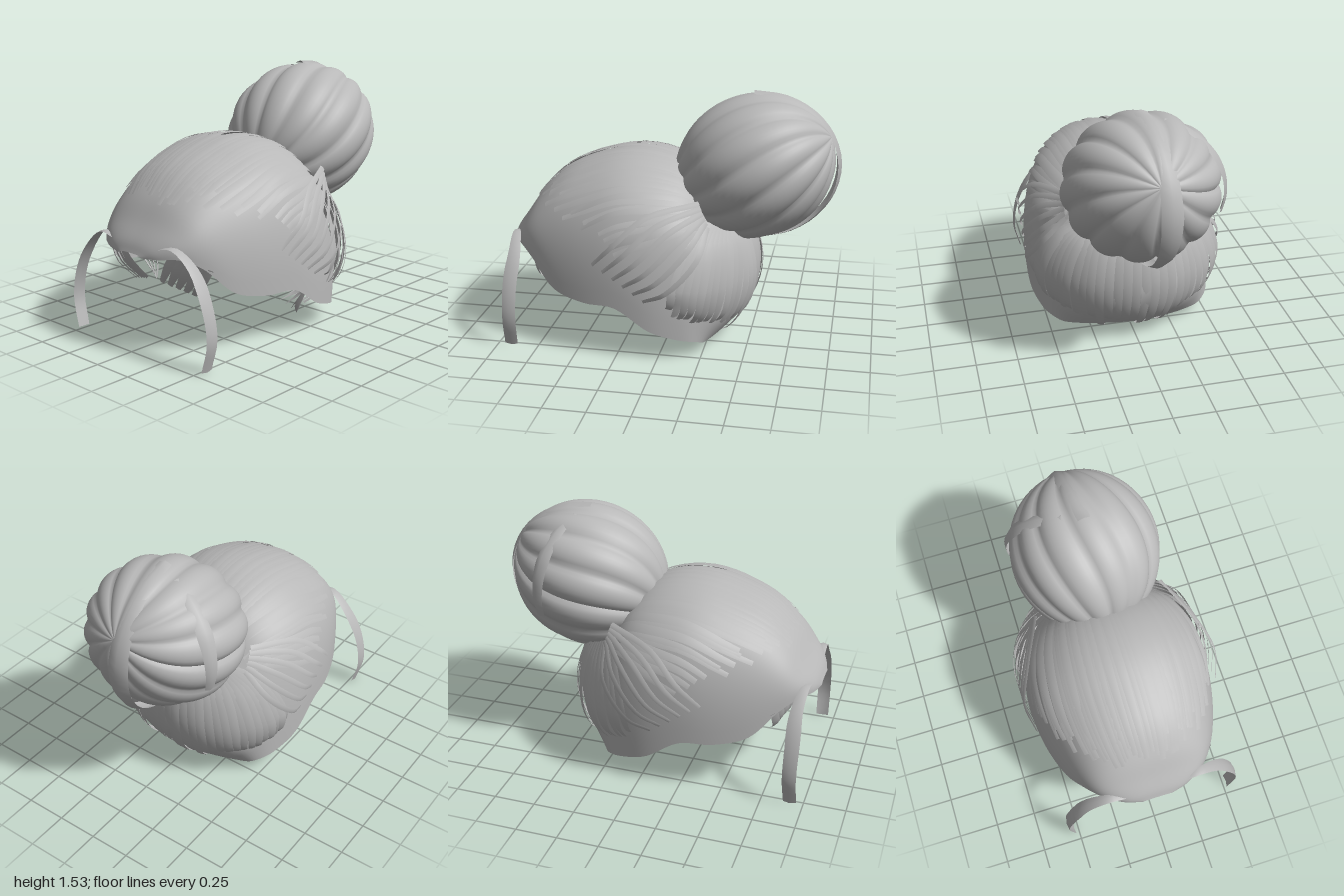
import * as THREE from 'three';
import { mergeGeometries } from 'three/addons/utils/BufferGeometryUtils.js';

const V = (x, y, z) => new THREE.Vector3(x, y, z);
const HEAD = V(0, 0.5, 0.1);
const BUN = V(0, 1.085, -0.495);

// Scalp cross-sections from hairline to nape: z, half width, top y, bottom y
const SECTIONS = [
  [0.995, 0.09, 0.605, 0.59], [0.965, 0.2, 0.67, 0.595], [0.9, 0.31, 0.76, 0.6], [0.8, 0.4, 0.9, 0.54],
  [0.65, 0.485, 1.03, 0.39], [0.45, 0.55, 1.11, 0.34], [0.25, 0.58, 1.15, 0.33], [0.05, 0.58, 1.13, 0.2],
  [-0.12, 0.54, 1.05, 0.14], [-0.25, 0.48, 0.9, 0.11], [-0.36, 0.41, 0.77, 0.08], [-0.46, 0.31, 0.69, 0.08],
  [-0.52, 0.17, 0.6, 0.1], [-0.54, 0, 0.52, 0.1],
];
const LAST = SECTIONS.length - 1;
const shape = new THREE.CatmullRomCurve3(SECTIONS.map(s => V(s[0], s[1], s[2])), false, 'catmullrom');
const hem = new THREE.CatmullRomCurve3(SECTIONS.map(s => V(s[3], 0, 0)), false, 'catmullrom');

// Point on the scalp: i = section index, t = 0 (left hem) to PI (right hem)
function scalpPoint(i, t, lift = 0) {
  const u = THREE.MathUtils.clamp(i / LAST, 0, 1);
  const s = shape.getPoint(u), bottom = hem.getPoint(u).x;
  const c = Math.cos(t), k = 0.8;
  const p = V(Math.sign(c) * s.y * Math.abs(c) ** k, bottom + (s.z - bottom) * Math.max(0, Math.sin(t)) ** k, s.x);
  // the nape tucks forward towards the neck
  const back = THREE.MathUtils.smoothstep(-s.x, 0.15, 0.54);
  p.z += 0.16 * back * (Math.max(0, 0.42 - p.y) / 0.32) ** 2;
  return p.addScaledVector(p.clone().sub(HEAD).normalize(), lift);
}

// Grid surface from fn(row, column)
function grid(rows, cols, fn) {
  const pos = [], index = [];
  for (let r = 0; r <= rows; r++) for (let c = 0; c <= cols; c++) {
    pos.push(...fn(r, c).toArray());
    if (r < rows && c < cols) {
      const a = r * (cols + 1) + c, b = a + cols + 1;
      index.push(a, a + 1, b, b, a + 1, b + 1);
    }
  }
  const g = new THREE.BufferGeometry();
  g.setAttribute('position', new THREE.Float32BufferAttribute(pos, 3));
  g.setIndex(index);
  g.computeVertexNormals();
  return g;
}

// Curved ribbon of hair facing away from a centre point
function ribbon(points, width, centre, { steps = 12, crown = 0.1, tip = 0.6, root = 1 } = {}) {
  const curve = new THREE.CatmullRomCurve3(points);
  return grid(steps, 2, (r, c) => {
    const s = r / steps, p = curve.getPoint(s), out = p.clone().sub(centre).normalize();
    const side = out.clone().cross(curve.getTangent(s)).normalize();
    const taper = s < 0.5 ? root + (1 - root) * s * 2 : 1 + (tip - 1) * (s - 0.5) * 2;
    return p.addScaledVector(side, (1 - c) * width * taper / 2).addScaledVector(out, c === 1 ? crown * width * taper : 0);
  });
}

export function createModel() {
  const group = new THREE.Group();
  const hair = new THREE.MeshStandardMaterial({ color: 0xb8b8b8, side: THREE.DoubleSide });
  hair.name = 'grey hair';
  let seed = 7;
  const rand = () => (seed = (seed * 16807) % 2147483647) / 2147483647;
  const add = (name, geometry) => {
    const mesh = new THREE.Mesh(Array.isArray(geometry) ? mergeGeometries(geometry) : geometry, hair);
    mesh.name = name;
    group.add(mesh);
  };

  // Smooth shell over the head
  add('scalp', grid(65, 48, (r, c) => scalpPoint(r / 65 * LAST, c / 48 * Math.PI)));

  // Strands combed from the bun to the front and temples, with some lifting off the sides
  const combed = [];
  for (let j = 0; j < 50; j++) {
    const f = j / 24.5 - 1, bow = (Math.abs(f) > 0.6 && j % 3 === 0 ? 0.05 : 0.012) * rand();
    const end = 2.6 + 2.7 * f * f + rand() * 0.9;
    const path = [];
    for (let k = 0; k <= 8; k++) {
      const s = k / 8;
      path.push(scalpPoint(8.6 + (end - 8.6) * s, Math.PI / 2 - f * (0.75 + 0.5 * s),
        0.008 + bow * Math.sin(Math.PI * s) + 0.02 * (1 - s) ** 3));
    }
    combed.push(ribbon(path, 0.04 + rand() * 0.02, HEAD, { steps: 16, crown: 0.06 }));
  }
  add('combed strands', combed);

  // Strands swept from under the bun, round the back and tucked in at the nape
  const nape = [];
  for (let j = 0; j < 34; j++) {
    const f = j / 16.5 - 1, a = f * 1.6, sx = Math.sin(a), cz = Math.cos(a), w = rand() * 0.02, drop = f * f;
    const path = [
      V(0.26 * sx, 0.8, -0.3 - 0.1 * cz),
      V((0.46 + w) * sx, 0.69, -0.19 - 0.31 * cz),
      V((0.57 + w) * sx, 0.46, -0.11 - (0.43 + w) * cz),
      V((0.555 + w) * sx, 0.24 + 0.12 * drop, -0.09 - (0.4 + w) * cz),
      V((0.48 + 0.07 * drop) * sx, 0.07 + 0.22 * drop + rand() * 0.05, -0.07 - 0.31 * cz),
    ];
    if (Math.abs(f) < 0.5) path.push(V(0.4 * sx, 0.055 + rand() * 0.03, -0.1 - 0.16 * cz));
    nape.push(ribbon(path, 0.055, HEAD, { steps: 18, crown: 0.06 }));
  }
  add('nape strands', nape);

  // Loose strands sagging away from the sides of the head
  const flyaways = [];
  for (const m of [-1, 1]) for (let j = 0; j < 6; j++) {
    const z = 0.32 - j * 0.06, y = 0.07 * j;
    flyaways.push(ribbon([V(m * 0.4, 0.95 - y * 0.4, -0.22 - j * 0.01), V(m * 0.54, 0.89 - y * 0.7, z - 0.25),
      V(m * 0.615, 0.74 - y * 0.8, z - 0.08), V(m * 0.585, 0.6 - y * 0.6, z + 0.06)], 0.035, HEAD));
  }
  add('flyaways', flyaways);

  // Long curved locks framing the face, and short ones below the hairline
  const locks = [], bangs = [], ends = [];
  for (const m of [-1, 1]) {
    locks.push(ribbon([V(m * 0.17, 0.645, 0.945), V(m * 0.29, 0.665, 0.93), V(m * 0.42, 0.57, 0.91), V(m * 0.52, 0.4, 0.915),
      V(m * 0.56, 0.2, 0.915), V(m * 0.52, 0.02, 0.92)], 0.088, V(m * 0.15, 0.25, 0.915), { steps: 20, root: 0.3, tip: 0.9 }));
    for (let j = 0; j < 5; j++) {
      const x = 0.23 + j * 0.045;
      bangs.push(ribbon([V(m * x, 0.62 - j * 0.02, 0.86 - j * 0.02), V(m * (x - 0.07), 0.51 - j * 0.02, 0.86 - j * 0.02),
        V(m * (x - 0.17), 0.4 - j * 0.015, 0.81 - j * 0.02)], 0.055, V(0, 0.5, 0.4), { steps: 6 }));
    }
  }
  for (let j = 0; j < 4; j++) {
    ends.push(ribbon([V(0.48 - j * 0.03, 0.28, -j * 0.05), V(0.4 - j * 0.04, 0.16, -0.02 - j * 0.05),
      V(0.29 - j * 0.03, 0.02 + j * 0.025, -0.12 + j * 0.02)], 0.1, HEAD, { steps: 5, tip: 0.05 }));
    ends.push(ribbon([V(-0.52 + j * 0.04, 0.45, 0.48), V(-0.45 + j * 0.04, 0.36, 0.48),
      V(-0.38 + j * 0.03, 0.28, 0.47 + j * 0.02)], 0.06, HEAD, { steps: 5 }));
  }
  add('face locks', locks);
  add('short bangs', bangs);
  add('loose ends', ends);

  // Bun of thick swirled lobes gathered at both poles
  const bun = new THREE.SphereGeometry(1, 112, 32);
  const p = bun.attributes.position, v = V(0, 0, 0);
  for (let i = 0; i < p.count; i++) {
    v.fromBufferAttribute(p, i);
    const ring = Math.hypot(v.x, v.z), angle = Math.atan2(v.z, v.x) * 6.5;
    const r = 0.45 - 0.035 * ring * (1 - Math.abs(Math.cos(angle)) ** 0.6);
    const twist = v.y * 0.25, c = Math.cos(twist), s = Math.sin(twist);
    p.setXYZ(i, (v.x * c - v.z * s) * r * 1.03, v.y * r * 1.09, (v.x * s + v.z * c) * r * 0.97);
  }
  bun.rotateX(-1.16);
  bun.translate(BUN.x, BUN.y, BUN.z);
  bun.computeVertexNormals();
  add('bun', bun);

  // Wide bands wrapped around the back and right of the bun
  const arc = (from, to, tilt, r, width) => {
    const path = [];
    for (let k = 0; k <= 8; k++) {
      const a = from + (to - from) * k / 8;
      path.push(V(0, Math.sin(a) * r * 0.9, -Math.cos(a) * r).applyAxisAngle(V(0, 1, 0), tilt).add(BUN));
    }
    return ribbon(path, width, BUN, { steps: 24, crown: 0.2, root: 0.6 });
  };
  add('bun bands', [arc(-1.5, 1.6, 0.1, 0.495, 0.13), arc(-0.3, 1.3, 1.2, 0.475, 0.1)]);
  return group;
}
